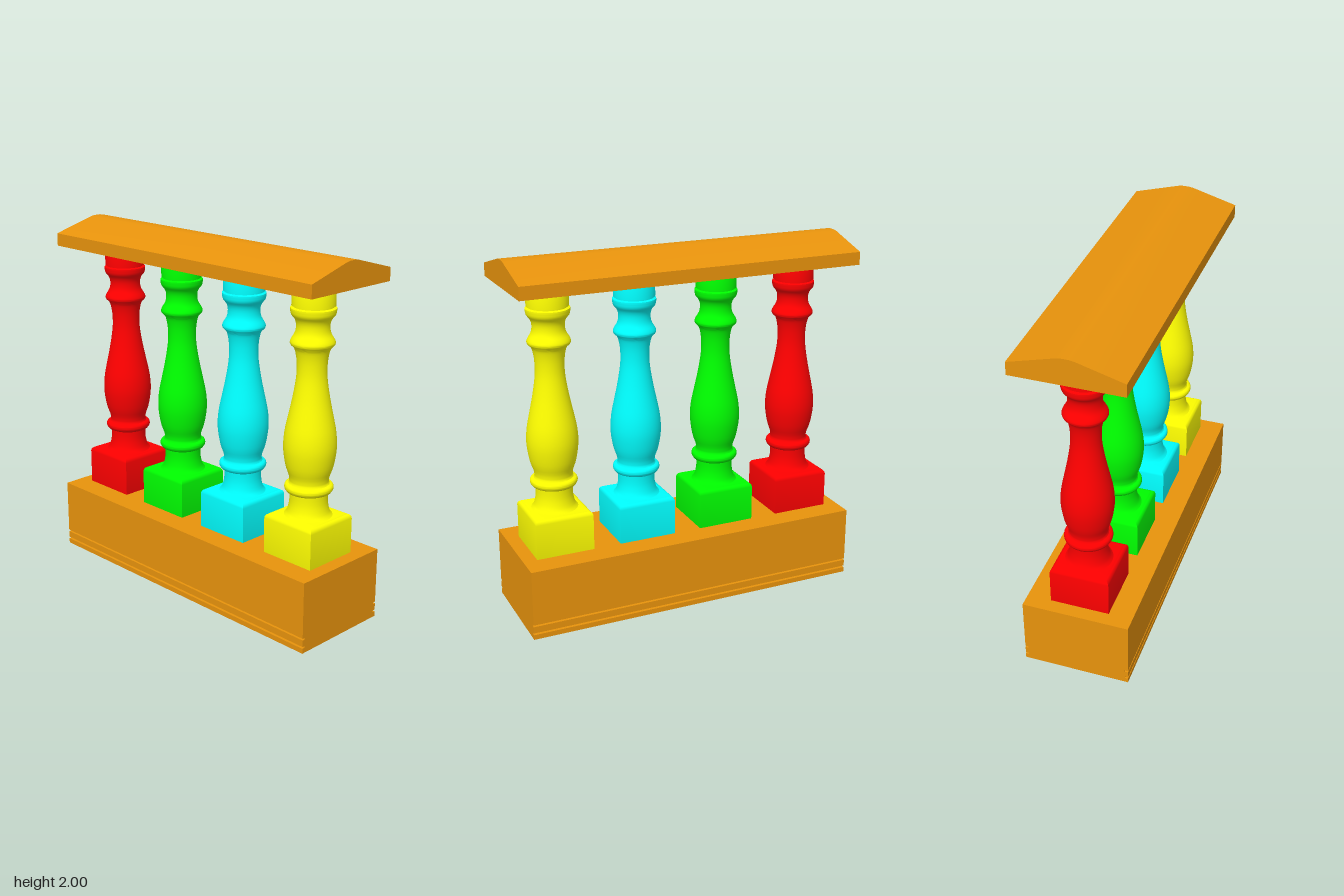
import * as THREE from 'three';
import { toCreasedNormals } from 'three/addons/utils/BufferGeometryUtils.js';

const LENGTH = 1.926, DEPTH = 0.295;
const v = ([x, y]) => new THREE.Vector2(x, y);

function createMesh(name, geometry, color) {
  const mesh = new THREE.Mesh(toCreasedNormals(geometry, 0.65), new THREE.MeshStandardMaterial({ color }));
  mesh.name = name;
  return mesh;
}

// Mirrors a half cross-section (z, y) and sweeps it along x
function sweepAlongX(half) {
  const mirrored = half.map(([z, y]) => [-z, y]).reverse();
  const shape = new THREE.Shape([...half, ...mirrored].map(v));
  return new THREE.ExtrudeGeometry(shape, { depth: LENGTH, bevelEnabled: false })
    .translate(0, 0, -LENGTH / 2).rotateY(Math.PI / 2);
}

// Square block with softened top edges
function plinthGeometry() {
  const bevel = 0.026, h = 0.163 - bevel, bottom = 0.36, top = 0.62;
  const square = new THREE.Shape([[-h, -h], [h, -h], [h, h], [-h, h]].map(v));
  return new THREE.ExtrudeGeometry(square, {
    depth: top - bottom - 2 * bevel, bevelSize: bevel, bevelThickness: bevel, bevelSegments: 4,
  }).rotateX(-Math.PI / 2).translate(0, bottom + bevel, 0);
}

// Turned shaft: foot, lower ring, belly, neck, collar and cap
function shaftGeometry() {
  const foot = [[0.14, 0.61], [0.118, 0.63], [0.107, 0.66], [0.101, 0.70], [0.102, 0.745]];
  const ring = [[0.118, 0.752], [0.127, 0.765], [0.129, 0.777], [0.124, 0.79], [0.108, 0.797]];
  const belly = [[0.103, 0.805], [0.106, 0.835], [0.123, 0.885], [0.135, 0.95], [0.139, 1.01], [0.133, 1.08],
    [0.117, 1.16], [0.098, 1.25], [0.083, 1.34], [0.078, 1.40], [0.080, 1.46], [0.088, 1.505], [0.096, 1.525]];
  const collar = [[0.112, 1.54], [0.116, 1.552], [0.109, 1.57], [0.094, 1.595], [0.087, 1.62],
    [0.087, 1.65], [0.096, 1.675], [0.112, 1.695], [0.117, 1.715], [0.117, 1.73]];
  const cap = [[0.104, 1.736], [0.104, 1.742], [0.112, 1.742], [0.112, 1.82], [0.107, 1.838], [0.095, 1.852], [0.07, 1.86]];
  const smooth = (points, n) => new THREE.SplineCurve(points.map(v)).getPoints(n);
  return new THREE.LatheGeometry(
    [...smooth(foot, 8), ...smooth(ring, 10), ...smooth(belly, 32), ...smooth(collar, 22), ...cap.map(v)], 40);
}

export function createModel() {
  const group = new THREE.Group();
  const wood = 0xe8930c;

  // Base with two grooves along the front and back
  const inset = DEPTH - 0.018;
  group.add(createMesh('base', sweepAlongX([
    [DEPTH, 0], [DEPTH, 0.028], [inset, 0.028], [inset, 0.039], [DEPTH, 0.039],
    [DEPTH, 0.076], [inset, 0.076], [inset, 0.086], [DEPTH, 0.086], [DEPTH, 0.397],
  ]), wood));

  // Pitched handrail with a softened ridge
  group.add(createMesh('handrail', sweepAlongX([
    [DEPTH, 1.855], [DEPTH, 1.926], [0.045, 1.996], [0.02, 2],
  ]), wood));

  // Four coloured balusters
  const names = ['redBaluster', 'greenBaluster', 'cyanBaluster', 'yellowBaluster'];
  [0xff0000, 0x00ff00, 0x00ffff, 0xffff00].forEach((color, i) => {
    const baluster = new THREE.Group();
    baluster.name = names[i];
    baluster.add(createMesh('plinth', plinthGeometry(), color), createMesh('shaft', shaftGeometry(), color));
    baluster.position.x = -0.723 + i * 0.482;
    group.add(baluster);
  });
  return group;
}
